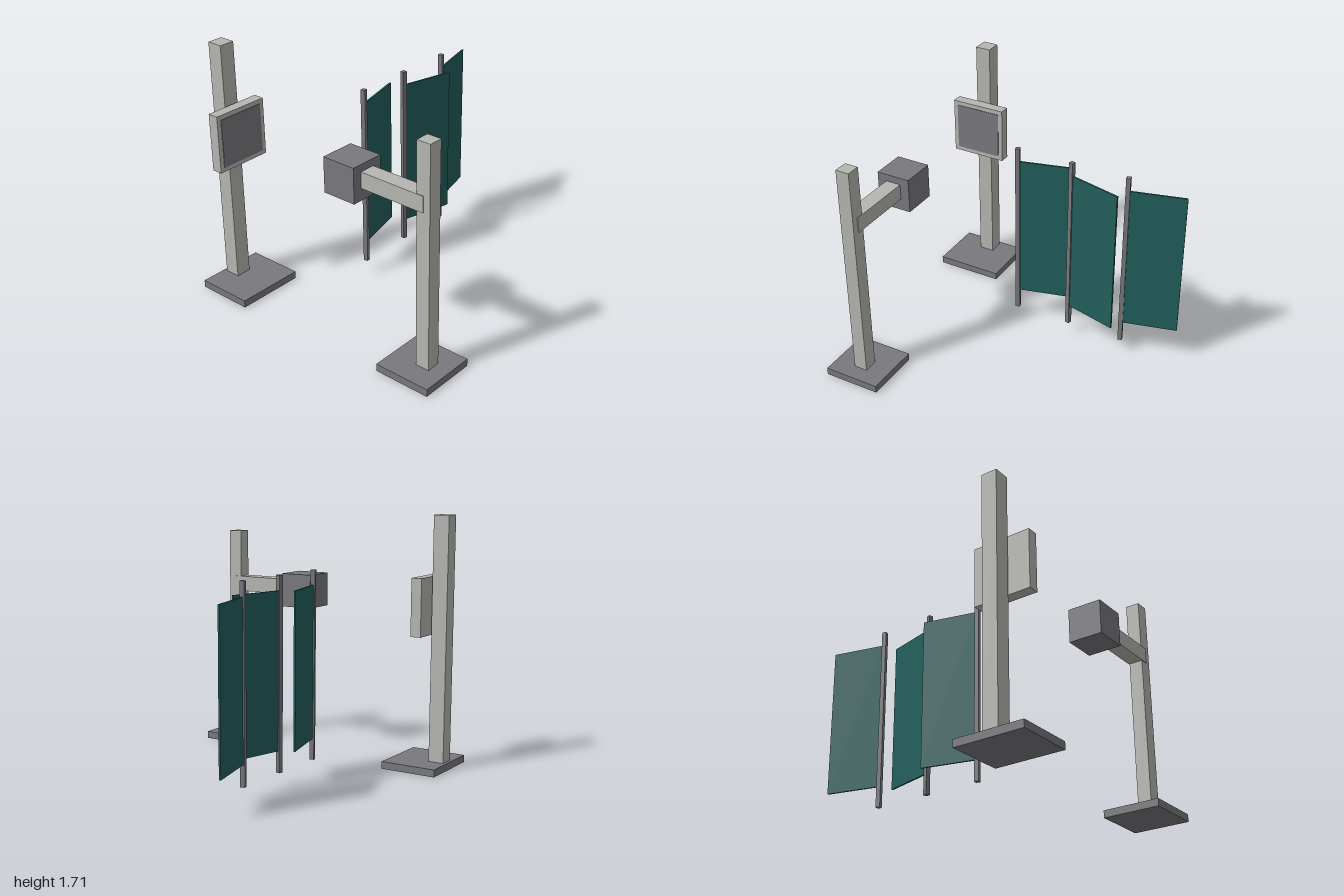
import * as THREE from 'three';

const material = (name, color) => {
  const m = new THREE.MeshStandardMaterial({ color });
  m.name = name;
  return m;
};

export function createModel() {
  const lightGrey = material('light grey', 0xb5b5b1);
  const darkGrey = material('dark grey', 0x79787d);
  const green = material('screen green', 0x225f5c);

  const group = (name, parent) => {
    const g = new THREE.Group();
    g.name = name;
    if (parent) parent.add(g);
    return g;
  };

  // Box given by its [min, max] extents on each axis
  const block = (parent, name, mat, [x0, x1], [y0, y1], [z0, z1]) => {
    const mesh = new THREE.Mesh(new THREE.BoxGeometry(x1 - x0, y1 - y0, z1 - z0), mat);
    mesh.position.set((x0 + x1) / 2, (y0 + y1) / 2, (z0 + z1) / 2);
    mesh.name = name;
    parent.add(mesh);
  };

  const model = group('xrayRoomSet');

  // Front stand: base, column and arm carrying the tube head
  const tube = group('tubeStand', model);
  block(tube, 'tubeBase', darkGrey, [-0.96, -0.57], [0, 0.05], [0.553, 0.943]);
  block(tube, 'tubeColumn', lightGrey, [-0.812, -0.718], [0.05, 1.548], [0.738, 0.835]);
  block(tube, 'tubeArm', lightGrey, [-0.818, -0.712], [1.11, 1.217], [0.33, 0.79]);
  block(tube, 'tubeHead', darkGrey, [-0.882, -0.648], [1.03, 1.265], [0.095, 0.33]);

  // Rear stand: base, column and square plate with a dark face
  const detector = group('detectorStand', model);
  block(detector, 'detectorBase', darkGrey, [-1, -0.53], [0, 0.05], [-0.945, -0.555]);
  block(detector, 'detectorColumn', lightGrey, [-0.817, -0.711], [0.05, 1.708], [-0.923, -0.815]);
  block(detector, 'detectorPlate', lightGrey, [-0.96, -0.57], [0.912, 1.302], [-0.805, -0.732]);
  block(detector, 'detectorFace', darkGrey, [-0.93, -0.6], [0.942, 1.272], [-0.733, -0.728]);

  // Folding screen: each leaf is a pole with a panel, turned in alternate directions
  const screen = group('foldingScreen', model);
  [-0.161, 0.235, 0.631].forEach((x, i) => {
    const leaf = group('screenLeaf' + (i + 1), screen);
    block(leaf, 'pole', darkGrey, [-0.015, 0.015], [0.1, 1.362], [-0.015, 0.015]);
    block(leaf, 'panel', green, [0.01, 0.379], [0.242, 1.265], [-0.006, 0.006]);
    leaf.position.set(x, 0, -0.232);
    leaf.rotation.y = i % 2 ? -0.25 : 0.25;
  });

  return model;
}
